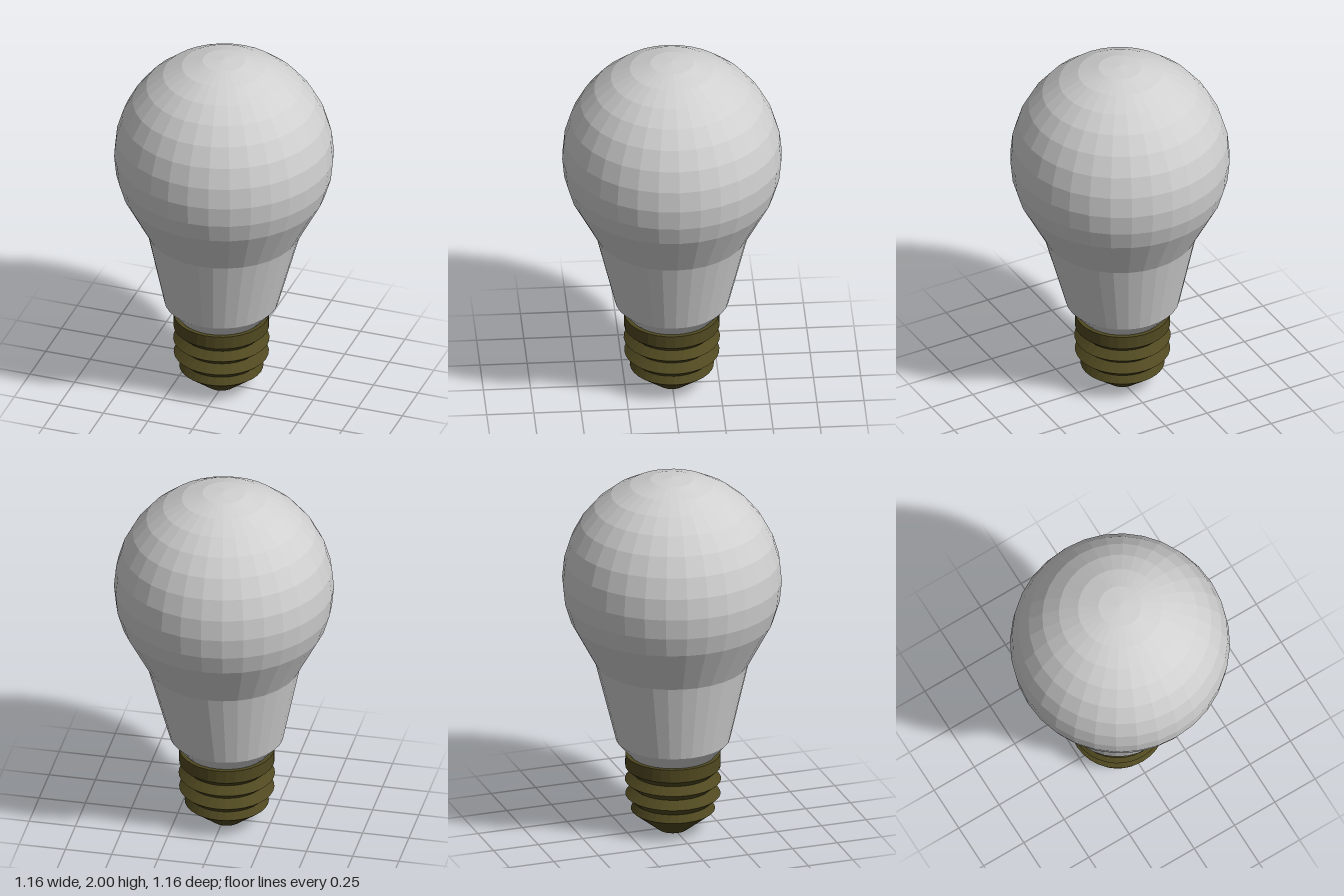
import * as THREE from 'three';

const SEGMENTS = 32;
const STEP = Math.PI / 16;

// Faceted solid of revolution; points are [radius, height, x shift], bottom to top
function turned(name, profile, material) {
  const points = profile.map(([r, y]) => new THREE.Vector2(r, y));
  const geometry = new THREE.LatheGeometry(points, SEGMENTS);
  const position = geometry.attributes.position;
  for (let i = 0; i < position.count; i++) {
    const shift = profile[i % profile.length][2] ?? 0;
    position.setX(i, position.getX(i) + shift);
  }
  geometry.computeVertexNormals();
  const mesh = new THREE.Mesh(geometry, material);
  mesh.name = name;
  return mesh;
}

export function createModel() {
  const group = new THREE.Group();
  group.name = 'lightBulb';
  const glass = new THREE.MeshStandardMaterial({ color: 0xd0d0d0, flatShading: true });
  glass.name = 'frosted grey';
  const brass = new THREE.MeshStandardMaterial({ color: 0x4f4820, flatShading: true });
  brass.name = 'dark brass';

  // Tapered neck, leaning slightly, flowing into the round globe
  const bulb = [
    [0, 0.43, -0.015], [0.228, 0.43, -0.015], [0.302, 0.515, -0.015], [0.407, 0.95],
  ];
  const radius = 0.582, centre = 1.418;
  for (let i = 10; i >= 0; i--) {
    bulb.push([radius * Math.sin(i * STEP), centre + radius * Math.cos(i * STEP)]);
  }
  group.add(turned('bulb', bulb, glass));

  // Screw base with ridged thread and tapered contact
  const base = [
    [0, 0], [0.078, 0], [0.223, 0.115], [0.2, 0.155], [0.252, 0.2], [0.204, 0.24],
    [0.255, 0.283], [0.212, 0.322], [0.253, 0.36], [0.252, 0.432], [0, 0.432],
  ].map(([r, y]) => [r, y, -0.015]);
  group.add(turned('screwBase', base, brass));

  return group;
}
